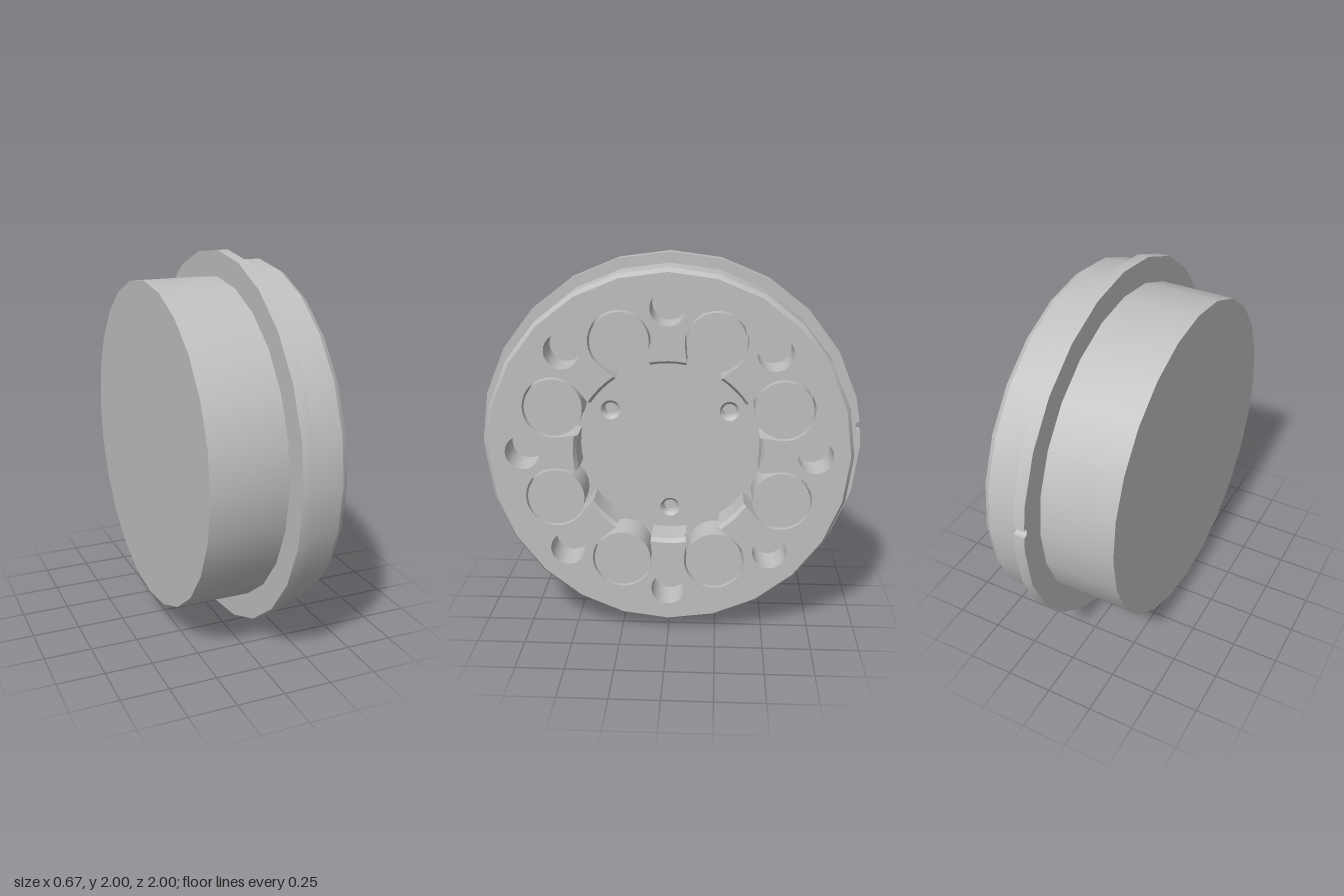
import * as THREE from 'three';
import { toCreasedNormals } from 'three/addons/utils/BufferGeometryUtils.js';

const SIDES = 24, FRONT = 0.335, FLOOR = 0.145, RAD = Math.PI / 180;
const metal = new THREE.MeshStandardMaterial({ color: 0xbfbfbf });
metal.name = 'plain grey metal';

const polar = (r, deg) => new THREE.Vector2(r * Math.cos(deg * RAD), r * Math.sin(deg * RAD));

// points of a counterclockwise arc
function arc(c, r, from, to, n) {
  return Array.from({ length: n + 1 }, (_, i) => polar(r, from + (to - from) * i / n).add(c));
}
const circle = (c, r, n = 24) => arc(c, r, 0, 360, n).slice(0, n);
const origin = new THREE.Vector2();

// recess outline: eight wall arcs joined by open pin pockets
function recessOutline(r) {
  const pts = [];
  for (let k = 0; k < 8; k++) {
    const a = 90 + k * 45, p = a + 22.5;
    pts.push(...arc(origin, r, a - 11, a + 11, 4));
    pts.push(...arc(polar(0.63, p), 0.158, p - 117, p + 117, 20));
  }
  return pts;
}

// inward-facing wall through outlines [points, depth], front to back
function innerWall(rings) {
  const pos = [];
  for (let j = 0; j + 1 < rings.length; j++) {
    const [A, za] = rings[j], [B, zb] = rings[j + 1];
    A.forEach((a, i) => {
      const n = (i + 1) % A.length, a2 = A[n], b = B[i], b2 = B[n];
      pos.push(a.x, a.y, za, a2.x, a2.y, za, b.x, b.y, zb);
      pos.push(a2.x, a2.y, za, b2.x, b2.y, zb, b.x, b.y, zb);
    });
  }
  const g = new THREE.BufferGeometry();
  g.setAttribute('position', new THREE.Float32BufferAttribute(pos, 3));
  return toCreasedNormals(g, 0.45);
}

function plate(outline, holes) {
  const s = new THREE.Shape(outline);
  s.holes = holes.map(h => new THREE.Path(h));
  return s;
}

export function createModel() {
  const model = new THREE.Group();
  model.name = 'roundHousing';
  const hub = new THREE.Group(); // local +z is the working face
  hub.name = 'hub';
  hub.rotation.y = Math.PI / 2;
  hub.position.y = 1;
  model.add(hub);
  const add = (name, geo, z = 0, c = origin) => {
    const m = new THREE.Mesh(geo, metal);
    m.name = name;
    m.position.set(c.x, c.y, z);
    hub.add(m);
  };

  // outer shell with chamfered front rim
  const profile = [[0, -0.335], [0.865, -0.335], [0.865, 0.09], [0.945, 0.09], [0.945, 0.305], [0.925, FRONT]];
  const shell = new THREE.LatheGeometry(profile.map(p => new THREE.Vector2(...p)), SIDES);
  add('shell', toCreasedNormals(shell.rotateX(Math.PI / 2), 0.4));

  // flange with a small round locating notch
  const rim = [];
  for (let i = 0; i < SIDES; i++) {
    rim.push(polar(1, i * 15));
    if (i === 0) rim.push(...arc(polar(0.997, 6), 0.024, 276, 96, 8));
  }
  const flange = new THREE.ExtrudeGeometry(plate(rim, [circle(origin, 0.82)]), { depth: 0.06, bevelEnabled: false });
  add('flange', toCreasedNormals(flange, 0.45), 0.065);

  // front face with recess and ring of round holes
  const boreCentres = Array.from({ length: 8 }, (_, k) => polar(0.75, k * 45));
  const face = plate(circle(origin, 0.925, SIDES), [recessOutline(0.488), ...boreCentres.map(c => circle(c, 0.09))]);
  add('frontFace', new THREE.ShapeGeometry(face), FRONT);
  const lower = recessOutline(0.472);
  add('recessWall', innerWall([[recessOutline(0.488), FRONT], [lower, FRONT - 0.025], [lower, FLOOR]]));
  boreCentres.forEach(c => add('boreWall', innerWall([[circle(c, 0.09), FRONT], [circle(c, 0.09), FLOOR]])));

  // recess floor with three countersunk screw holes
  const screws = [30, 150, 270].map(a => polar(0.36, a));
  add('recessFloor', new THREE.ShapeGeometry(plate(circle(origin, 0.9), screws.map(c => circle(c, 0.052)))), FLOOR);
  screws.forEach(c => {
    const small = circle(c, 0.036);
    add('screwHole', innerWall([[circle(c, 0.052), FLOOR], [small, FLOOR - 0.02], [small, FLOOR - 0.07]]));
    add('screwHoleBottom', new THREE.CircleGeometry(0.036, 24), FLOOR - 0.07, c);
  });

  // eight pins standing in the pockets
  for (let k = 0; k < 8; k++) {
    const pin = new THREE.CylinderGeometry(0.148, 0.148, FRONT - FLOOR, 28).rotateX(Math.PI / 2);
    add('pin', pin, (FRONT + FLOOR) / 2, polar(0.63, 22.5 + k * 45));
  }
  return model;
}
